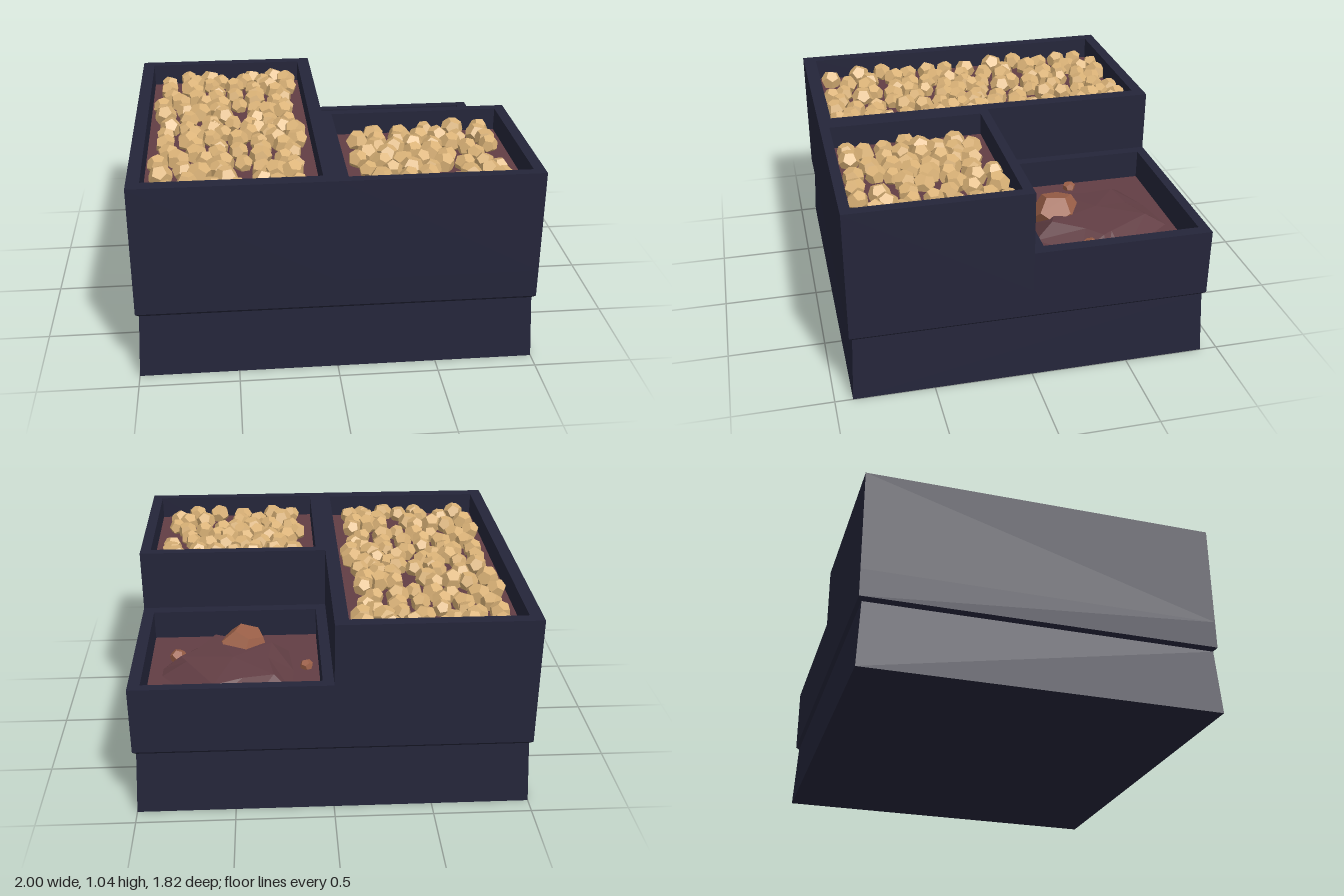
import * as THREE from 'three';
import { mergeGeometries } from 'three/addons/utils/BufferGeometryUtils.js';

const material = (name, color) => {
  const m = new THREE.MeshStandardMaterial({ color });
  m.name = name;
  return m;
};

// Small seeded generator for chunk sizes and rotations
function seeded(seed) {
  return () => {
    seed = (seed * 16807) % 2147483647;
    return seed / 2147483647;
  };
}

// Box whose bottom and top are scaled separately
function taperedBox(y0, y1, bottomScale, topScale) {
  const g = new THREE.BoxGeometry(2, y1 - y0, 1.82);
  const p = g.attributes.position;
  for (let i = 0; i < p.count; i++) {
    const s = p.getY(i) < 0 ? bottomScale : topScale;
    p.setX(i, p.getX(i) * s);
    p.setZ(i, p.getZ(i) * s);
  }
  g.computeVertexNormals();
  return g.translate(0, (y0 + y1) / 2, 0);
}

// Corners of a rectangle on the ground, as shape points (shape y is -z)
const rectangle = ([x0, x1, z0, z1]) =>
  [[x0, -z1], [x1, -z1], [x1, -z0], [x0, -z0]].map(([x, y]) => new THREE.Vector2(x, y));

// Upright rectangular wall ring
function wallRing(outer, opening, y0, y1) {
  const shape = new THREE.Shape(rectangle(outer));
  shape.holes.push(new THREE.Path(rectangle(opening).reverse()));
  return new THREE.ExtrudeGeometry(shape, { depth: y1 - y0, bevelEnabled: false })
    .rotateX(-Math.PI / 2).translate(0, y0, 0);
}

// Faceted chunks scattered at flat x, z pairs
function chunkHeap(pairs, floorY, random) {
  const parts = [];
  for (let i = 0; i < pairs.length; i += 2) {
    const r = 0.05 + random() * 0.014;
    parts.push(new THREE.DodecahedronGeometry(r)
      .rotateX(random() * 6).rotateY(random() * 6).rotateZ(random() * 6)
      .translate(pairs[i], floorY + 0.025 + random() * 0.015, pairs[i + 1]));
  }
  return mergeGeometries(parts);
}

// Low faceted mound: ground ring, shoulder ring and peak
function moundGeometry(floorY) {
  const ring = [[0.2, -0.7], [0.4, -0.78], [0.62, -0.82], [0.87, -0.5], [0.87, -0.42],
    [0.8, -0.3], [0.63, -0.11], [0.45, -0.14], [0.21, -0.25], [0.19, -0.47]];
  const cx = 0.53, cz = -0.44, n = ring.length;
  const lower = ring.map(([x, z]) => [x, floorY, z]);
  const upper = ring.map(([x, z], i) => {
    const s = i % 2 ? 0.62 : 0.72;
    return [cx + (x - cx) * s, floorY + 0.075 + 0.03 * (z - cz), cz + (z - cz) * s];
  });
  const peak = [0.5, floorY + 0.09, -0.47];
  const v = [];
  for (let i = 0; i < n; i++) {
    const j = (i + 1) % n;
    v.push(...lower[i], ...upper[i], ...lower[j]);
    v.push(...lower[j], ...upper[i], ...upper[j]);
    v.push(...upper[i], ...peak, ...upper[j]);
  }
  // Ring runs clockwise seen from above, so flip each triangle to face outward
  for (let t = 0; t < v.length; t += 9) {
    const ux = v[t + 3] - v[t], uz = v[t + 5] - v[t + 2];
    const wx = v[t + 6] - v[t], wz = v[t + 8] - v[t + 2];
    if (uz * wx - ux * wz < 0) {
      for (let k = 3; k < 6; k++) [v[t + k], v[t + k + 3]] = [v[t + k + 3], v[t + k]];
    }
  }
  const g = new THREE.BufferGeometry();
  g.setAttribute('position', new THREE.Float32BufferAttribute(v, 3));
  g.computeVertexNormals();
  return g;
}

export function createModel() {
  const model = new THREE.Group();
  model.name = 'storageBins';
  const navy = material('navy', 0x24253a);
  const soil = material('soil', 0x623e44);
  const gold = material('gold', 0xdab277);
  const rust = material('rust', 0x9c6048);
  const add = (name, geometry, mat, parent = model) => {
    const mesh = new THREE.Mesh(geometry, mat);
    mesh.name = name;
    parent.add(mesh);
    return mesh;
  };

  // Plinth, flared lip and solid body
  add('plinth', taperedBox(0, 0.34, 1, 0.982), navy);
  add('lip', taperedBox(0.34, 0.357, 0.982, 1), navy);
  add('body', taperedBox(0.357, 0.5, 1, 1), navy);

  // Three bins with their floors
  const bins = [
    { name: 'longBin', outer: [-1, 0, -0.91, 0.91], open: [-0.935, -0.07, -0.85, 0.84], top: 1.035, floor: 0.915 },
    { name: 'frontBin', outer: [0, 1, 0, 0.91], open: [0.05, 0.945, 0.05, 0.86], top: 1.035, floor: 0.915 },
    { name: 'lowBin', outer: [0, 1, -0.91, 0], open: [0.055, 0.94, -0.86, -0.06], top: 0.71, floor: 0.555 },
  ];
  for (const { name, outer, open, top, floor } of bins) {
    const bin = new THREE.Group();
    bin.name = name;
    model.add(bin);
    add(name + 'Walls', wallRing(outer, open, 0.5, top), navy, bin);
    const [x0, x1, z0, z1] = open;
    add(name + 'Floor', new THREE.BoxGeometry(x1 - x0, 0.04, z1 - z0)
      .translate((x0 + x1) / 2, floor - 0.02, (z0 + z1) / 2), soil, bin);
  }

  // Chunks in the long bin: one layout used twice along z
  const longLayout = [
    -0.73, -0.82, -0.6, -0.81, -0.35, -0.81, -0.22, -0.81,
    -0.84, -0.74, -0.68, -0.73, -0.54, -0.76, -0.4, -0.73, -0.29, -0.74, -0.15, -0.75,
    -0.84, -0.63, -0.72, -0.66, -0.6, -0.69, -0.68, -0.6, -0.46, -0.66, -0.35, -0.62, -0.26, -0.66, -0.15, -0.64,
    -0.82, -0.51, -0.68, -0.5, -0.56, -0.57, -0.57, -0.48, -0.46, -0.5, -0.34, -0.52, -0.22, -0.58, -0.18, -0.5,
    -0.87, -0.36, -0.77, -0.42, -0.63, -0.41, -0.54, -0.38, -0.44, -0.36, -0.35, -0.42, -0.23, -0.41,
    -0.85, -0.22, -0.74, -0.27, -0.66, -0.24, -0.56, -0.27, -0.53, -0.2, -0.35, -0.26, -0.28, -0.24, -0.18, -0.3, -0.2, -0.22,
    -0.82, -0.05, -0.72, -0.14, -0.6, -0.1, -0.48, -0.07, -0.35, -0.14, -0.28, -0.1, -0.18, -0.08, -0.39, -0.03, -0.26, -0.03, -0.58, -0.03,
  ];
  const random = seeded(41);
  const longHeap = chunkHeap(longLayout, 0.915, random);
  add('longBinChunksBack', longHeap, gold);
  add('longBinChunksFront', longHeap, gold).position.z = 0.815;

  // Chunks in the front bin
  const frontLayout = [
    0.55, 0.1, 0.7, 0.11, 0.85, 0.09, 0.26, 0.15, 0.17, 0.22, 0.27, 0.24, 0.4, 0.18, 0.38, 0.25,
    0.5, 0.2, 0.6, 0.2, 0.7, 0.24, 0.82, 0.18, 0.85, 0.25, 0.25, 0.33, 0.35, 0.33, 0.45, 0.3,
    0.55, 0.33, 0.65, 0.31, 0.73, 0.36, 0.85, 0.33, 0.2, 0.41, 0.3, 0.42, 0.44, 0.4, 0.53, 0.42,
    0.6, 0.46, 0.76, 0.44, 0.14, 0.48, 0.26, 0.52, 0.37, 0.5, 0.46, 0.5, 0.68, 0.55, 0.78, 0.55,
    0.18, 0.6, 0.3, 0.61, 0.4, 0.59, 0.5, 0.6, 0.57, 0.55, 0.84, 0.61, 0.23, 0.71, 0.37, 0.7,
    0.47, 0.68, 0.68, 0.69, 0.78, 0.67, 0.83, 0.73, 0.17, 0.79, 0.28, 0.79, 0.46, 0.79, 0.6, 0.8, 0.73, 0.8,
  ];
  add('frontBinChunks', chunkHeap(frontLayout, 0.915, random), gold);

  // Mound and rocks in the low bin
  add('mound', moundGeometry(0.555), soil);
  const rocks = [[0.45, 0.6, -0.27, 0.135], [0.12, 0.57, -0.44, 0.036], [0.795, 0.59, -0.35, 0.045]];
  rocks.forEach(([x, y, z, r], i) => {
    add('rock' + (i + 1), new THREE.DodecahedronGeometry(r)
      .rotateX(0.5 + i).rotateZ(0.3 + i).scale(1, 0.88, 1).translate(x, y, z), rust);
  });

  return model;
}
